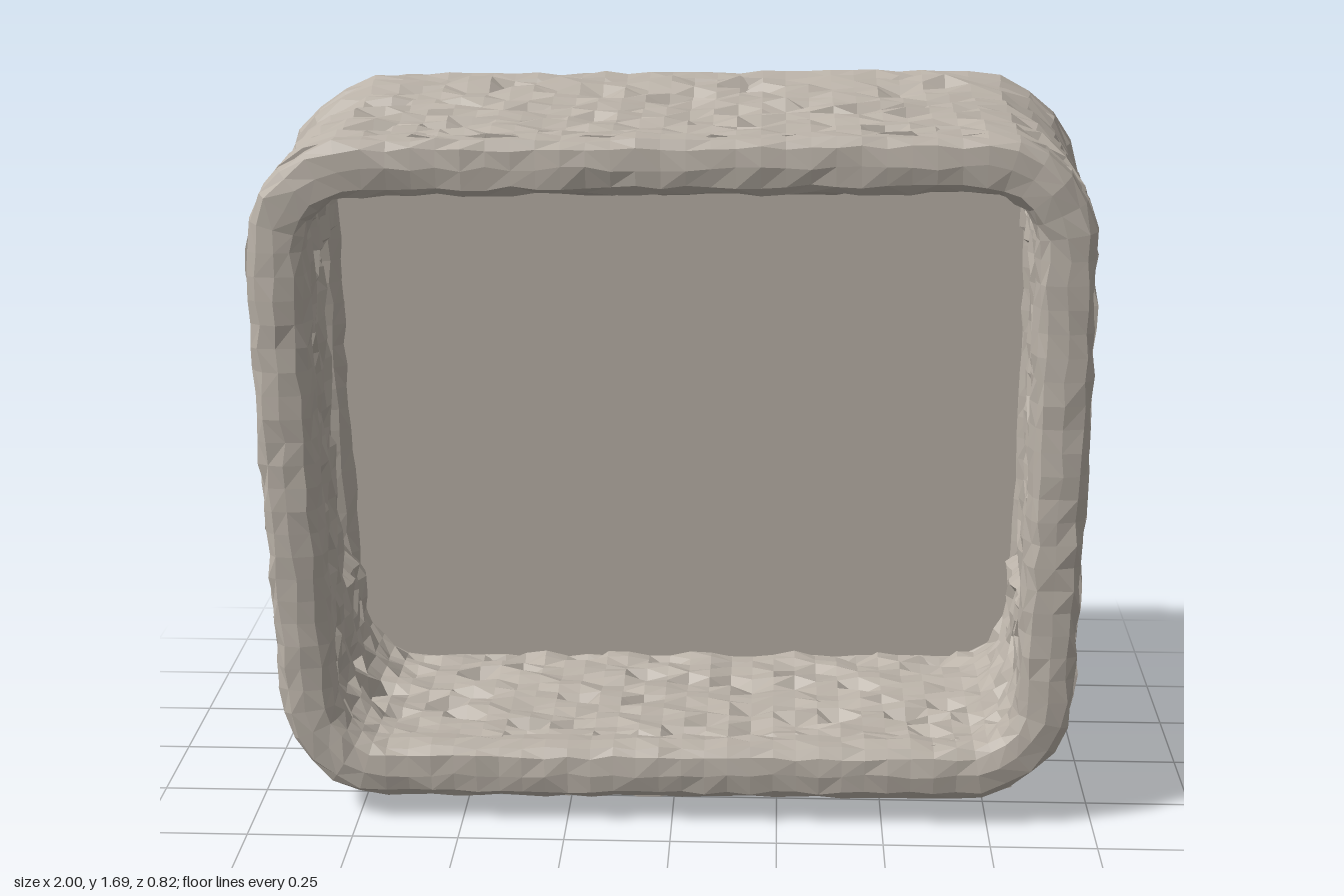
import * as THREE from 'three';

const HX = 0.9, HY = 0.74, R = 0.2, CY = 0.84; // centre line of the basket wall
const N = 112;

let seed = 7;
const rand = () => {
  seed = (seed * 16807) % 2147483647;
  return seed / 2147483647;
};
const jitter = (a) => (rand() - 0.5) * 2 * a;

// Point and outward normal at fraction t around the rounded rectangle
function loopPoint(t) {
  const w = 2 * (HX - R), h = 2 * (HY - R), q = (Math.PI / 2) * R;
  const corners = [[1, 1], [-1, 1], [-1, -1], [1, -1]];
  let s = t * (2 * w + 2 * h + 4 * q);
  for (let k = 0; k < 4; k++) {
    const [sx, sy] = corners[k], a = (k * Math.PI) / 2;
    const cx = sx * (HX - R), cy = sy * (HY - R);
    const len = k % 2 ? w : h;
    if (s <= len) { // straight side leading to the corner
      const back = len - s, nx = Math.cos(a), ny = Math.sin(a);
      return { x: cx + nx * R + ny * back, y: cy + ny * R - nx * back, nx, ny };
    }
    s -= len;
    if (s <= q) {
      const b = a + s / R, nx = Math.cos(b), ny = Math.sin(b);
      return { x: cx + nx * R, y: cy + ny * R, nx, ny };
    }
    s -= q;
  }
  return { x: HX, y: -(HY - R), nx: 1, ny: 0 };
}

// Basket narrows slightly towards its lower side
const taper = (y) => 1 - 0.025 * Math.max(0, (0.1 - y) / 0.84);

// Sweeps a closed profile of [offset, z] around the loop, with faceted normals
function sweep(profile, relief, skip = () => false) {
  const M = profile.length, pos = [], index = [];
  for (let i = 0; i < N; i++) {
    const p = loopPoint(i / N);
    profile.forEach(([d, z], j) => {
      const e = d + relief(i, j, p, z);
      const y = p.y + p.ny * e + 0.01 * (z + 0.34); // front sits a touch higher
      pos.push((p.x + p.nx * e) * taper(y), CY + y, z + jitter(0.004));
    });
  }
  for (let i = 0; i < N; i++) {
    for (let j = 0; j < M; j++) {
      const i2 = (i + 1) % N, j2 = (j + 1) % M;
      const a = i * M + j, b = i2 * M + j, c = i2 * M + j2, d = i * M + j2;
      const mid = (k) => (pos[a * 3 + k] + pos[b * 3 + k] + pos[c * 3 + k] + pos[d * 3 + k]) / 4;
      if (skip(mid(0), mid(1), mid(2))) continue;
      if (rand() < 0.5) index.push(a, b, c, a, c, d);
      else index.push(a, b, d, b, c, d);
    }
  }
  const g = new THREE.BufferGeometry();
  g.setAttribute('position', new THREE.Float32BufferAttribute(pos, 3));
  g.setIndex(index);
  const flat = g.toNonIndexed();
  flat.computeVertexNormals();
  return flat;
}

// Closed squarish oval profile
function oval(d, z, rd, rz, power, count = 12) {
  const f = (v) => Math.sign(v) * Math.pow(Math.abs(v), power);
  return Array.from({ length: count }, (_, k) => {
    const a = (k / count) * Math.PI * 2;
    return [d + rd * f(Math.cos(a)), z + rz * f(Math.sin(a))];
  });
}

function roundedRect(target, x0, y0, x1, y1, r) {
  target.moveTo(x0 + r, y0);
  target.absarc(x1 - r, y0 + r, r, -Math.PI / 2, 0);
  target.absarc(x1 - r, y1 - r, r, 0, Math.PI / 2);
  target.absarc(x0 + r, y1 - r, r, Math.PI / 2, Math.PI);
  target.absarc(x0 + r, y0 + r, r, Math.PI, Math.PI * 1.5);
  return target;
}

export function createModel() {
  const group = new THREE.Group();
  // The basket leans very slightly to one side
  const basket = new THREE.Group();
  basket.name = 'basket';
  basket.rotation.z = 0.012;
  basket.position.x = 0.01;
  group.add(basket);

  const wicker = new THREE.MeshStandardMaterial({ color: 0xbab2a8 });
  wicker.name = 'wicker';
  const add = (name, geometry) => {
    const mesh = new THREE.Mesh(geometry, wicker);
    mesh.name = name;
    basket.add(mesh);
    return mesh;
  };

  // Woven wall: outer rows flaring into the back rim, then inner rows
  const ROWS = 19, outer = [], inner = [];
  for (let k = 0; k < ROWS; k++) {
    const t = k / (ROWS - 1), z = -0.29 + 0.65 * t;
    outer.push([0.068 - 0.014 * t + 0.018 * Math.max(0, 1 - t * 6), z]);
    inner.unshift([-0.05 - 0.015 * t, z]);
  }
  const weave = (i, j, p, z) => {
    const isInner = j >= ROWS;
    // the wall is thinned on the inside around the handle slots
    if (isInner && Math.abs(p.nx) > 0.99 && p.y > -0.4 && p.y < 0.43 && z < 0.03) {
      return 0.065 + jitter(0.004);
    }
    const over = (Math.floor(i / 2) + Math.floor(j / 2)) % 2 ? 0.005 : -0.005;
    const pit = rand() < 0.1 ? -0.028 : 0;
    return (isInner ? -1 : 1) * (over + pit + jitter(0.005));
  };
  const handleGap = (x, y, z) =>
    Math.abs(x) > 0.75 && y > 0.545 && y < 1.195 && z < -0.09 && z > -0.27;
  add('wovenWall', sweep([...outer, ...inner], weave, handleGap));

  // Rolled rims at the open front and around the base panel
  add('frontRim', sweep(oval(-0.011, 0.345, 0.068, 0.064, 0.65), () => jitter(0.006)));
  add('backRim', sweep(oval(0.022, -0.335, 0.072, 0.073, 0.85), () => jitter(0.005)));

  // Base panel, set slightly inside the back rim
  const panelShape = roundedRect(new THREE.Shape(), -HX, -HY, HX, HY, R);
  const panel = add('basePanel', new THREE.ExtrudeGeometry(panelShape, {
    depth: 0.06, bevelEnabled: false, curveSegments: 8,
  }));
  panel.position.set(0, CY, -0.36);

  // Raised handle frames with a slot through each side wall
  const frame = roundedRect(new THREE.Shape(), -0.02, 0.48, 0.31, 1.235, 0.03);
  frame.holes.push(roundedRect(new THREE.Path(), 0.12, 0.58, 0.24, 1.165, 0.025));
  const frameGeometry = new THREE.ExtrudeGeometry(frame, {
    depth: 0.06, bevelThickness: 0.012, bevelSize: 0.012, bevelOffset: -0.012,
    bevelSegments: 1, curveSegments: 4,
  });
  frameGeometry.rotateY(Math.PI / 2);
  for (const side of [1, -1]) {
    const handle = add(side > 0 ? 'leftHandleFrame' : 'rightHandleFrame', frameGeometry);
    handle.position.x = side * 0.943 - 0.03;
  }
  return group;
}
